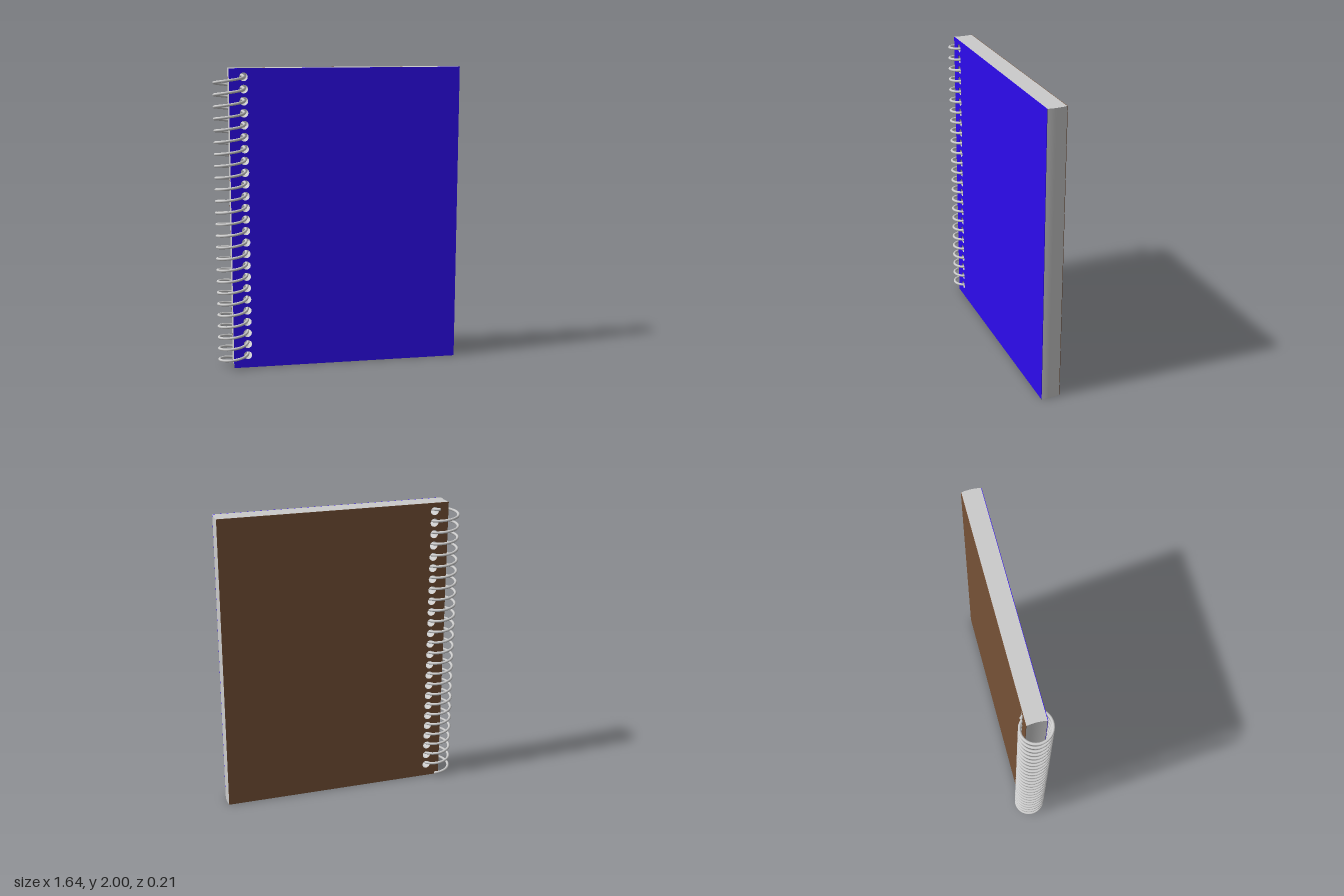
import * as THREE from 'three';
import { toCreasedNormals } from 'three/addons/utils/BufferGeometryUtils.js';

const LEFT = -0.72, RIGHT = 0.812, HEIGHT = 2;
const HALF = 0.065, COVER = 0.003;               // half thickness, cover thickness
const HOLES = 25, TOP_HOLE = 1.945, PITCH = 0.0775, HOLE_X = -0.626, HOLE_R = 0.028;

// Sheet outline with a column of punched holes
function punchedShape() {
  const shape = new THREE.Shape([
    new THREE.Vector2(LEFT, 0), new THREE.Vector2(RIGHT, 0),
    new THREE.Vector2(RIGHT, HEIGHT), new THREE.Vector2(LEFT, HEIGHT),
  ]);
  for (let i = 0; i < HOLES; i++) {
    const hole = new THREE.Path();
    hole.absarc(HOLE_X, TOP_HOLE - i * PITCH, HOLE_R, 0, Math.PI * 2, true);
    shape.holes.push(hole);
  }
  return shape;
}

// Punched slab between two depths
function slab(z0, z1, steps) {
  return new THREE.ExtrudeGeometry(punchedShape(), {
    depth: z1 - z0, steps, bevelEnabled: false, curveSegments: 10,
  }).translate(0, 0, z0);
}

// Spiral wire: starts behind the top hole and winds down through the front
class Spiral extends THREE.Curve {
  getPoint(t, target = new THREE.Vector3()) {
    const start = -0.14, end = HOLES - 1 + 0.8;  // in turns
    const turn = start + (end - start) * t;
    const a = turn * Math.PI * 2;
    return target.set(-0.716 + 0.097 * Math.cos(a), TOP_HOLE - turn * PITCH, 0.097 * Math.sin(a));
  }
}

export function createModel() {
  const group = new THREE.Group();
  const add = (name, geometry, color) => {
    const mesh = new THREE.Mesh(geometry, new THREE.MeshStandardMaterial({ color }));
    mesh.name = name;
    group.add(mesh);
    return mesh;
  };

  // Page block, its middle sheets shifted slightly to the right
  const inner = HALF - COVER;
  const pages = slab(-inner, inner, 8);
  const pos = pages.attributes.position;
  for (let i = 0; i < pos.count; i++) {
    const k = pos.getZ(i) / inner;
    pos.setX(i, pos.getX(i) + 0.006 * (1 - k * k));
  }
  add('pages', toCreasedNormals(pages, 0.7), 0xcccccc);

  // Covers
  add('frontCover', toCreasedNormals(slab(inner, HALF, 1), 0.7), 0x2d0bee);
  add('backCover', toCreasedNormals(slab(-HALF, -inner, 1), 0.7), 0x775237);

  // Wire binding with rounded ends
  const curve = new Spiral(), wireR = 0.009;
  add('spiralWire', new THREE.TubeGeometry(curve, HOLES * 32, wireR, 10, false), 0xcccccc);
  for (const t of [0, 1]) {
    const tip = add('wireEnd', new THREE.SphereGeometry(wireR, 10, 8), 0xcccccc);
    tip.position.copy(curve.getPoint(t));
  }
  return group;
}
